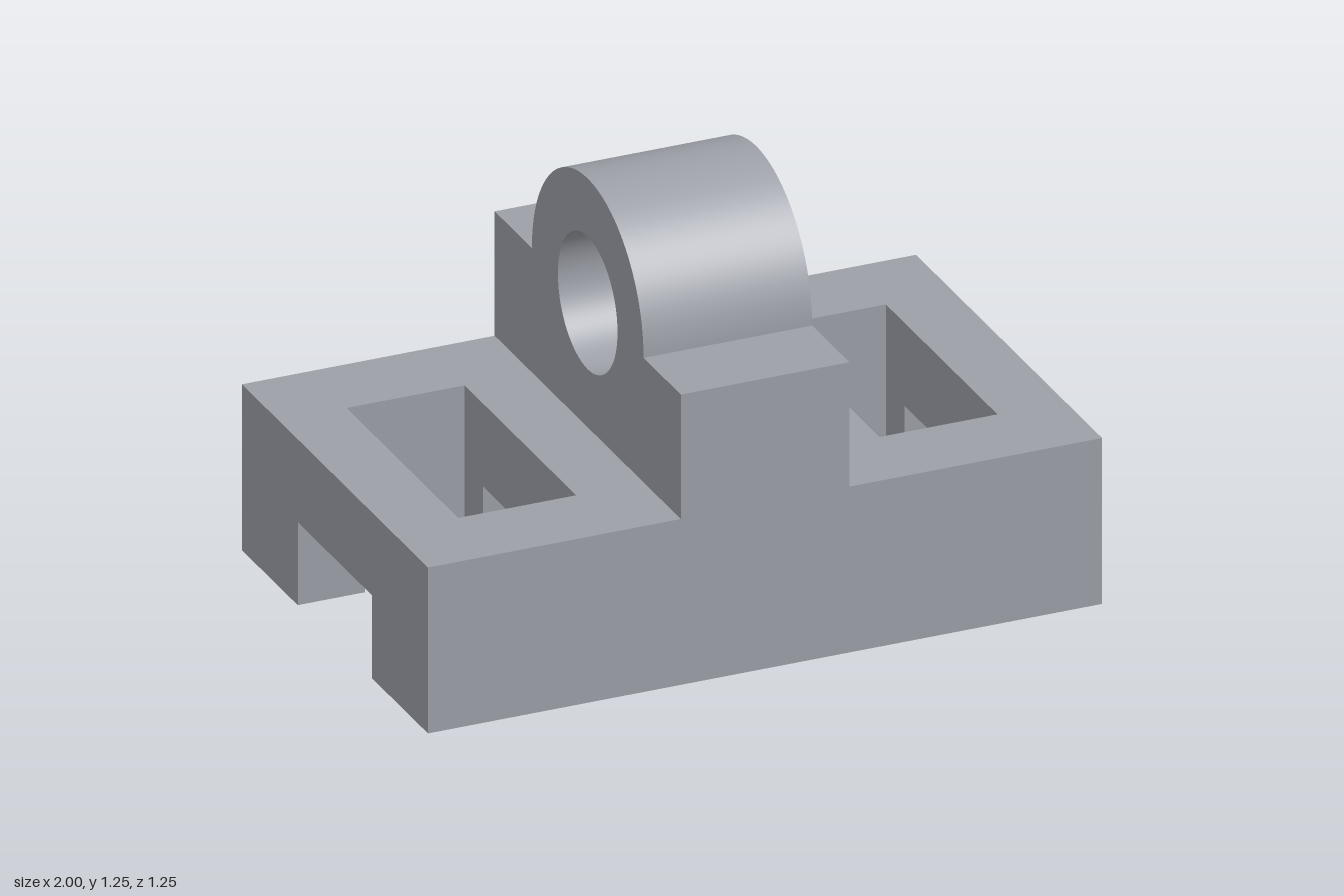
import * as THREE from 'three';
import { toCreasedNormals } from 'three/addons/utils/BufferGeometryUtils.js';

const HALF_L = 1, HALF_W = 0.625;               // base plan
const CHANNEL_H = 0.25, BASE_H = 0.5;           // underside channel and deck heights
const CHANNEL_W = 0.25;                         // half width of the channel
const POCKET_IN = 0.45, POCKET_OUT = 0.8, POCKET_W = 0.375;
const BORE_Y = 0.875, BORE_R = 0.2, BOSS_R = 0.375, BOSS_T = 0.5;

const points = (list) => list.map(([x, y]) => new THREE.Vector2(x, y));

const extrude = (shape, depth) =>
  new THREE.ExtrudeGeometry(shape, { depth, bevelEnabled: false, curveSegments: 40 });

export function createModel() {
  const group = new THREE.Group();
  const material = new THREE.MeshStandardMaterial({ color: 0x9da0a8 });
  const add = (name, geometry) => {
    const mesh = new THREE.Mesh(toCreasedNormals(geometry, 0.5), material);
    mesh.name = name;
    group.add(mesh);
  };

  // Two foot rails beside the channel, notched where the pockets cut through
  for (const side of [1, -1]) {
    const rail = new THREE.Shape(points([
      [-HALF_L, CHANNEL_W],
      [-POCKET_OUT, CHANNEL_W], [-POCKET_OUT, POCKET_W], [-POCKET_IN, POCKET_W], [-POCKET_IN, CHANNEL_W],
      [POCKET_IN, CHANNEL_W], [POCKET_IN, POCKET_W], [POCKET_OUT, POCKET_W], [POCKET_OUT, CHANNEL_W],
      [HALF_L, CHANNEL_W], [HALF_L, HALF_W], [-HALF_L, HALF_W],
    ]));
    const geometry = extrude(rail, CHANNEL_H).rotateX(-Math.PI / 2);
    if (side > 0) geometry.rotateY(Math.PI);
    add(side > 0 ? 'frontRail' : 'backRail', geometry);
  }

  // Deck with a rectangular pocket at each end
  const deck = new THREE.Shape(points([
    [-HALF_L, -HALF_W], [HALF_L, -HALF_W], [HALF_L, HALF_W], [-HALF_L, HALF_W],
  ]));
  for (const s of [1, -1]) {
    deck.holes.push(new THREE.Path(points([
      [s * POCKET_IN, -POCKET_W], [s * POCKET_IN, POCKET_W],
      [s * POCKET_OUT, POCKET_W], [s * POCKET_OUT, -POCKET_W],
    ])));
  }
  add('deck', extrude(deck, BASE_H - CHANNEL_H).rotateX(-Math.PI / 2).translate(0, CHANNEL_H, 0));

  // Upright bearing block: shoulders, rounded top and cross bore
  const block = new THREE.Shape();
  block.moveTo(-HALF_W, BASE_H);
  block.lineTo(HALF_W, BASE_H);
  block.lineTo(HALF_W, BORE_Y);
  block.lineTo(BOSS_R, BORE_Y);
  block.absarc(0, BORE_Y, BOSS_R, 0, Math.PI, false);
  block.lineTo(-HALF_W, BORE_Y);
  block.closePath();
  block.holes.push(new THREE.Path().absarc(0, BORE_Y, BORE_R, 0, Math.PI * 2, true));
  add('bearingBlock', extrude(block, BOSS_T).translate(0, 0, -BOSS_T / 2).rotateY(Math.PI / 2));

  return group;
}
